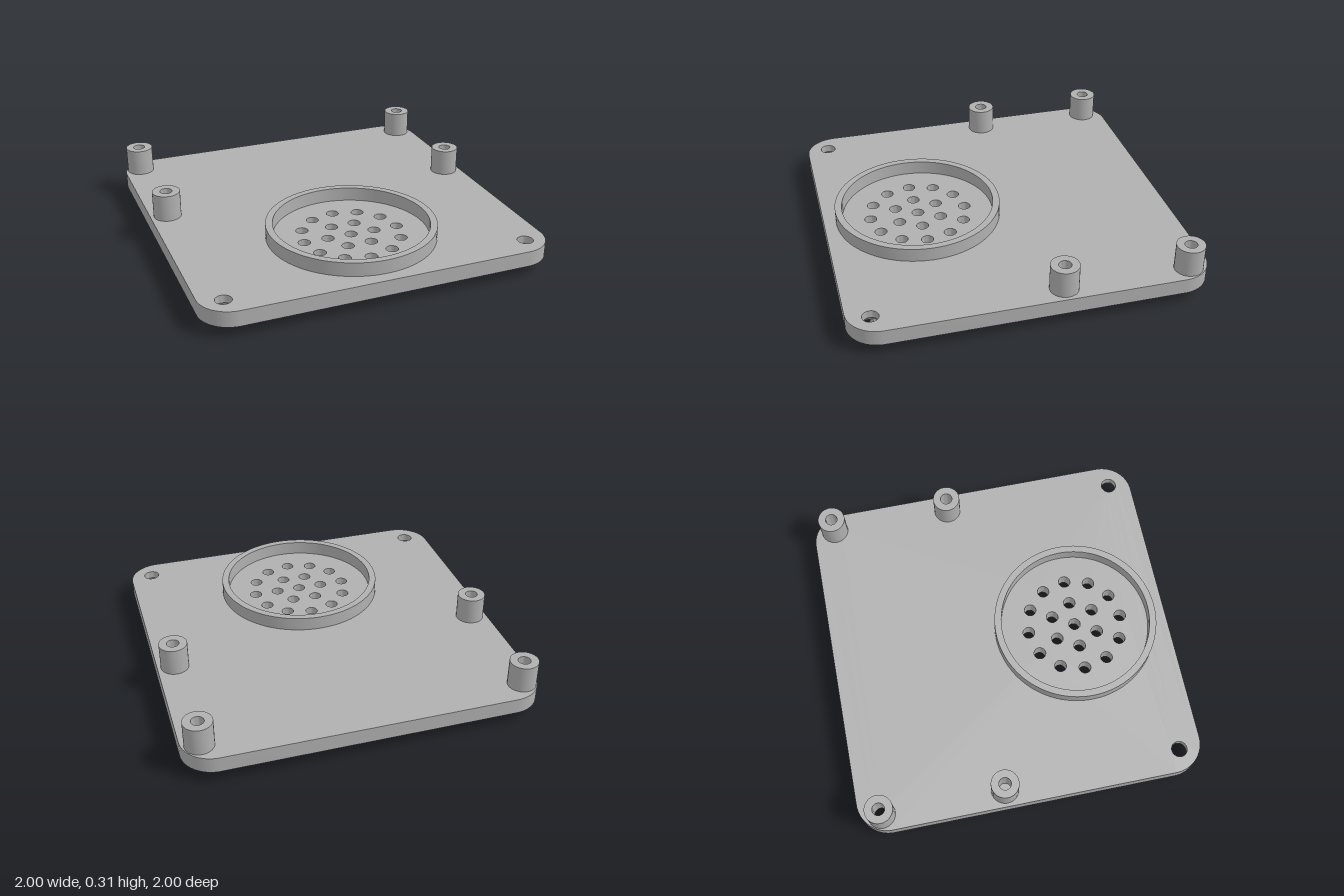
import * as THREE from 'three';
import { mergeGeometries, toCreasedNormals } from 'three/addons/utils/BufferGeometryUtils.js';

const BOTTOM = 0.065, TOP = 0.155, CORNER = 0.18;
const SCREW = 0.87, SCREW_R = 0.045, SINK_R = 0.085;
const VENT_Z = 0.45, VENT_R = 0.035;
const SIGNS = [-1, 1];

// Revolved profile with sharp edges; rising points face outward, falling points inward
function revolve(points, segments = 32) {
  const profile = points.map(([r, y]) => new THREE.Vector2(r, y));
  return toCreasedNormals(new THREE.LatheGeometry(profile, segments), 0.6);
}

// Closed tube standing from y0 to y1
function tube(inner, outer, y0, y1, segments) {
  return revolve([[inner, y0], [outer, y0], [outer, y1], [inner, y1], [inner, y0]], segments);
}

function roundedSquare() {
  const s = new THREE.Shape();
  const c = 1 - CORNER;
  s.absarc(c, c, CORNER, 0, Math.PI / 2);
  s.absarc(-c, c, CORNER, Math.PI / 2, Math.PI);
  s.absarc(-c, -c, CORNER, Math.PI, Math.PI * 1.5);
  s.absarc(c, -c, CORNER, Math.PI * 1.5, Math.PI * 2);
  s.closePath();
  return s;
}

// Vent hole centres: one in the middle, rings of 6 and 12
function ventCentres() {
  const list = [[0, VENT_Z]];
  for (const [count, radius] of [[6, 0.14], [12, 0.28]]) {
    for (let i = 0; i < count; i++) {
      const a = (i / count) * Math.PI * 2;
      list.push([radius * Math.cos(a), VENT_Z + radius * Math.sin(a)]);
    }
  }
  return list;
}

// Flat face of the plate with its holes; side is 1 for the top, -1 for the bottom
function plateFace(side, y, screwRadius) {
  const shape = roundedSquare();
  const cut = (x, z, r) => {
    const hole = new THREE.Path();
    hole.absarc(x, -side * z, r, 0, Math.PI * 2, true);
    shape.holes.push(hole);
  };
  for (const sx of SIGNS) for (const sz of SIGNS) cut(sx * SCREW, sz * SCREW, screwRadius);
  for (const [x, z] of ventCentres()) cut(x, z, VENT_R);
  const face = new THREE.ShapeGeometry(shape, 16);
  return face.rotateX(-side * Math.PI / 2).translate(0, y, 0);
}

// Outer wall of the plate
function plateRim() {
  const outline = roundedSquare().getPoints(16);
  const position = [], index = [];
  outline.forEach((p, i) => {
    position.push(p.x, BOTTOM, -p.y, p.x, TOP, -p.y);
    if (i < outline.length - 1) {
      const a = i * 2;
      index.push(a, a + 2, a + 1, a + 2, a + 3, a + 1);
    }
  });
  const g = new THREE.BufferGeometry();
  g.setAttribute('position', new THREE.Float32BufferAttribute(position, 3));
  g.setIndex(index);
  return toCreasedNormals(g, 0.6);
}

export function createModel() {
  const model = new THREE.Group();
  model.name = 'ventedBasePlate';
  const grey = new THREE.MeshStandardMaterial({ color: 0xb0b0b0 });
  grey.name = 'grey';

  const add = (name, geometry, x = 0, y = 0, z = 0) => {
    const mesh = new THREE.Mesh(geometry, grey);
    mesh.name = name;
    mesh.position.set(x, y, z);
    model.add(mesh);
  };

  // Plate
  add('plateTop', plateFace(1, TOP, SCREW_R));
  add('plateBottom', plateFace(-1, BOTTOM, SINK_R));
  add('plateRim', plateRim());

  // Vent hole walls
  const ventWall = revolve([[VENT_R, TOP], [VENT_R, BOTTOM]]);
  add('ventHoles', mergeGeometries(ventCentres().map(([x, z]) => ventWall.clone().translate(x, 0, z))));

  // Raised ring around the vent
  add('ventRing', tube(0.44, 0.48, TOP, 0.235, 96), 0, 0, VENT_Z);

  // Countersunk screw holes and feet at the four corners
  const screwWall = revolve([[SCREW_R, TOP], [SCREW_R, 0.11], [SINK_R, BOTTOM]]);
  const foot = new THREE.CylinderGeometry(0.12, 0.12, BOTTOM, 48);
  for (const sx of SIGNS) {
    for (const sz of SIGNS) {
      add('screwHole', screwWall, sx * SCREW, 0, sz * SCREW);
      add('foot', foot, sx * 0.742, BOTTOM / 2, sz * 0.742);
    }
  }

  // Hollow standoffs along the rear half
  const standoff = tube(0.035, 0.08, TOP, 0.31, 32);
  for (const sx of SIGNS) {
    for (const z of [-0.87, -0.16]) add('standoff', standoff, sx * 0.9, 0, z);
  }

  return model;
}
